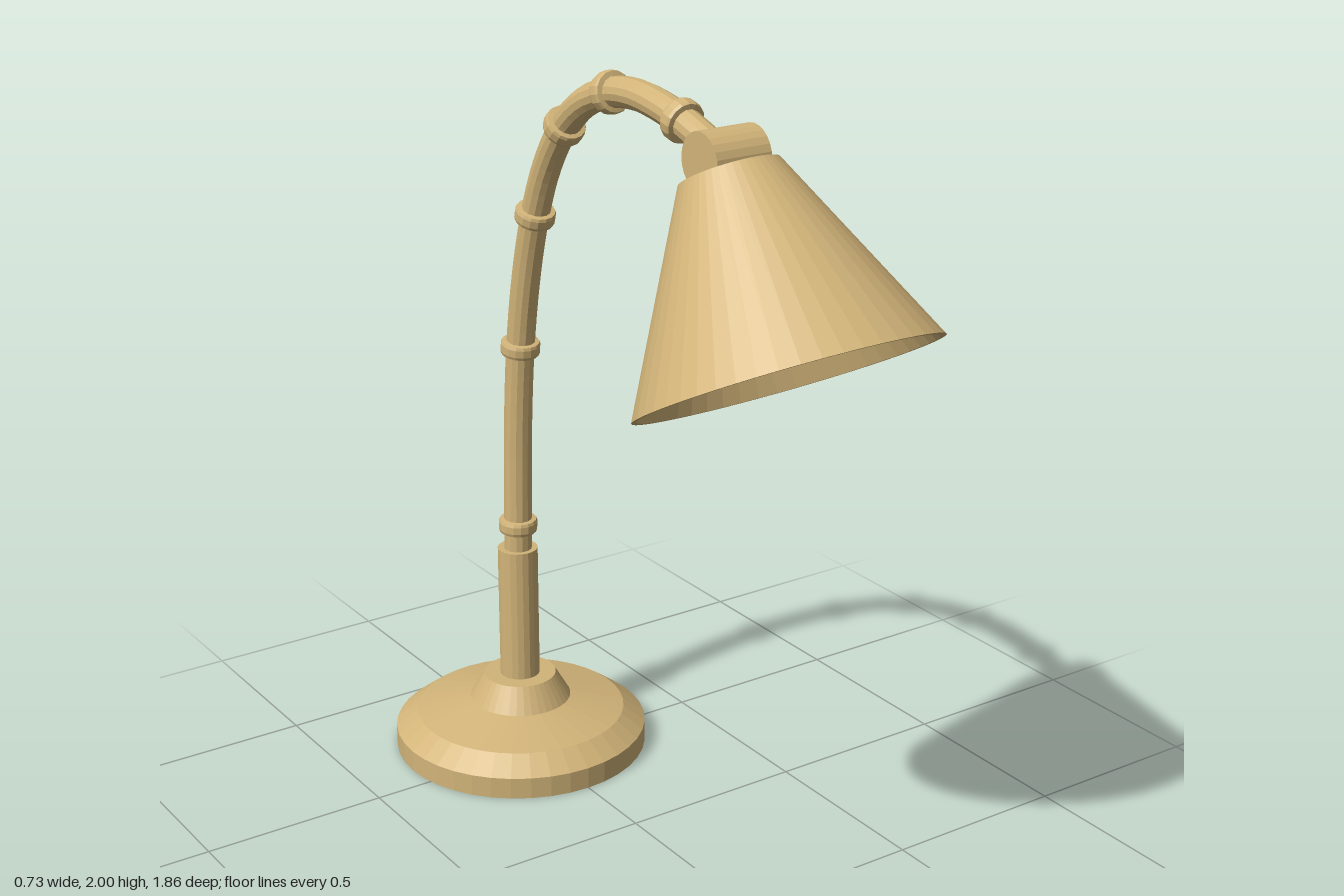
import * as THREE from 'three';

const material = new THREE.MeshStandardMaterial({ color: 0xd2b479, flatShading: true, side: THREE.DoubleSide });
const UP = new THREE.Vector3(0, 1, 0);
const BASE_Z = -0.58;

function part(name, geometry, parent) {
  const mesh = new THREE.Mesh(geometry, material);
  mesh.name = name;
  parent.add(mesh);
  return mesh;
}

const lathe = (points, sides) =>
  new THREE.LatheGeometry(points.map(([r, y]) => new THREE.Vector2(r, y)), sides);

export function createModel() {
  const lamp = new THREE.Group();
  lamp.name = 'deskLamp';

  // Weighted stepped base and the straight post sleeve
  part('base', lathe([
    [0, 0], [0.35, 0], [0.35, 0.06], [0.29, 0.105], [0.14, 0.14], [0.1, 0.21], [0, 0.21],
  ], 40), lamp).position.z = BASE_Z;
  part('postSleeve', new THREE.CylinderGeometry(0.055, 0.055, 0.39, 20), lamp)
    .position.set(0, 0.395, BASE_Z);

  // Curved arm
  const path = new THREE.CatmullRomCurve3([
    [0.57, -0.578], [0.66, -0.575], [0.92, -0.567], [1.18, -0.545], [1.39, -0.508], [1.56, -0.46],
    [1.7, -0.4], [1.82, -0.315], [1.9, -0.217], [1.945, -0.105], [1.96, 0.0],
    [1.953, 0.1], [1.935, 0.19], [1.89, 0.34],
  ].map(([y, z]) => new THREE.Vector3(0, y, z)), false, 'centripetal');
  part('arm', new THREE.TubeGeometry(path, 48, 0.038, 14, false), lamp);

  // Collars around the arm, each aligned with the local direction of the curve
  const collar = lathe([
    [0.036, -0.02], [0.05, -0.018], [0.053, -0.01], [0.053, 0.01], [0.05, 0.018], [0.036, 0.02],
  ], 16);
  const samples = path.getPoints(400);
  for (const [y, z] of [[0.66, -0.575], [1.18, -0.545], [1.56, -0.46],
    [1.82, -0.315], [1.945, -0.105], [1.935, 0.19]]) {
    const target = new THREE.Vector3(0, y, z);
    let best = 0;
    samples.forEach((p, i) => {
      if (p.distanceTo(target) < samples[best].distanceTo(target)) best = i;
    });
    const ring = part('armCollar', collar, lamp);
    ring.position.copy(target);
    ring.quaternion.setFromUnitVectors(UP, path.getTangent(best / 400));
  }

  // Hinge barrel joining arm and shade
  const hinge = part('hinge', new THREE.CylinderGeometry(0.07, 0.07, 0.15, 24), lamp);
  hinge.rotation.z = Math.PI / 2;
  hinge.position.set(0, 1.885, 0.365);

  // Tilted shade: its local origin is the centre of the open rim
  const head = new THREE.Group();
  head.name = 'lampHead';
  head.position.set(0, 1.43, 0.61);
  head.quaternion.setFromUnitVectors(UP, new THREE.Vector3(0, 0.875, -0.484).normalize());
  lamp.add(head);
  part('shade', lathe([
    [0, 0.475], [0.11, 0.475], [0.353, 0], [0.365, 0], [0.12, 0.486], [0, 0.486],
  ], 48), head);
  part('bulbSocket', new THREE.CylinderGeometry(0.02, 0.02, 0.29, 12), head).position.y = 0.335;

  return lamp;
}
